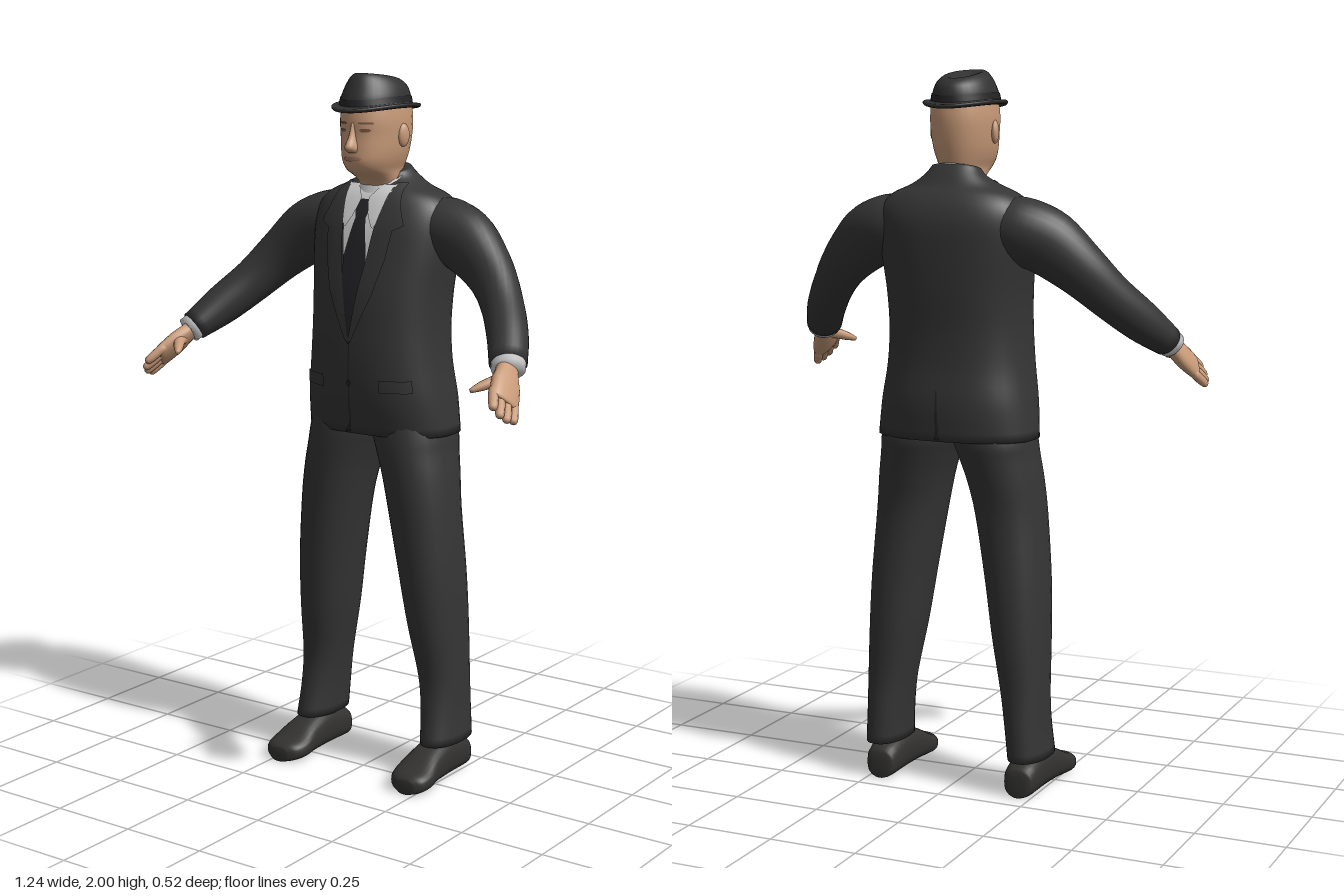
import * as THREE from 'three';

const V = (x, y, z) => new THREE.Vector3(x, y, z);
const paint = (name, color, side = THREE.FrontSide) => {
  const m = new THREE.MeshStandardMaterial({ color, side });
  m.name = name;
  return m;
};

// Smooth skin over cross-sections {c, u, v}; p shapes each ring (2 = ellipse, more = boxier)
function loft(secs, { p = 2, k = 4, n = 28, caps = true } = {}) {
  const curve = key => new THREE.CatmullRomCurve3(secs.map(s => s[key]), false, 'catmullrom', 0.5);
  const C = curve('c'), U = curve('u'), W = curve('v');
  const rows = (secs.length - 1) * k, pos = [], idx = [];
  const pw = a => Math.sign(a) * Math.pow(Math.abs(a), 2 / p);
  for (let i = 0; i <= rows; i++) {
    const c = C.getPoint(i / rows), u = U.getPoint(i / rows), v = W.getPoint(i / rows);
    for (let j = 0; j < n; j++) {
      const a = j / n * Math.PI * 2;
      pos.push(...c.clone().addScaledVector(u, pw(Math.cos(a))).addScaledVector(v, pw(Math.sin(a))).toArray());
    }
  }
  const first = secs[0], last = secs[secs.length - 1];
  const flip = first.u.clone().cross(first.v).dot(last.c.clone().sub(first.c)) < 0;
  const tri = (a, b, c) => flip ? idx.push(a, c, b) : idx.push(a, b, c);
  for (let i = 0; i < rows; i++) for (let j = 0; j < n; j++) {
    const a = i * n + j, b = i * n + (j + 1) % n;
    tri(a, b, b + n); tri(a, b + n, a + n);
  }
  if (caps) {
    const m = pos.length / 3;
    pos.push(...first.c.toArray(), ...last.c.toArray());
    for (let j = 0; j < n; j++) {
      const b = (j + 1) % n;
      tri(m, b, j); tri(m + 1, rows * n + j, rows * n + b);
    }
  }
  return geometry(pos, idx);
}

function geometry(pos, idx) {
  const g = new THREE.BufferGeometry();
  g.setAttribute('position', new THREE.Float32BufferAttribute(pos, 3));
  g.setIndex(idx);
  g.computeVertexNormals();
  return g;
}

// Level section: height, half width, front z, back z, centre x, rise at the front
const sec = ([y, hx, zf, zb, cx = 0, tilt = 0]) =>
  ({ c: V(cx, y, (zf + zb) / 2), u: V(hx, 0, 0), v: V(0, tilt, (zf - zb) / 2) });

// Sections square to a path of [x, y, z, width radius, thickness radius]
function limb(pts, ref) {
  return pts.map((q, i) => {
    const a = pts[Math.max(i - 1, 0)], b = pts[Math.min(i + 1, pts.length - 1)];
    const t = V(b[0] - a[0], b[1] - a[1], b[2] - a[2]).normalize();
    const u = ref.clone().cross(t).normalize(), v = t.clone().cross(u);
    return { c: V(q[0], q[1], q[2]), u: u.multiplyScalar(q[3]), v: v.multiplyScalar(q[4]) };
  });
}

// Thin plate of rows [y, x0, x1] laid onto a mesh from the front (dir 1) or back (dir -1)
function plate(target, rows, off, dir = 1) {
  const ray = new THREE.Raycaster(), cols = 6, sub = 4, pos = [], idx = [];
  const N = (rows.length - 1) * sub;
  let z = 0;
  for (let i = 0; i <= N; i++) {
    const r = Math.min(Math.floor(i / sub), rows.length - 2), f = i / sub - r;
    const [y, x0, x1] = rows[r].map((q, j) => q + (rows[r + 1][j] - q) * f);
    for (let j = 0; j <= cols; j++) {
      const x = x0 + (x1 - x0) * j / cols;
      ray.set(V(x, y, 2 * dir), V(0, 0, -dir));
      const hit = ray.intersectObject(target)[0];
      if (hit) z = hit.point.z;
      pos.push(x, y, z + off * dir);
      if (i < N && j < cols) {
        const a = i * (cols + 1) + j, b = a + cols + 1;
        idx.push(a, b, a + 1, a + 1, b, b + 1);
      }
    }
  }
  return geometry(pos, idx);
}

export function createModel() {
  const model = new THREE.Group();
  const suit = paint('charcoal suit', 0x353535), lapelCloth = paint('lapel cloth', 0x353535, THREE.DoubleSide);
  const dark = paint('dark trim', 0x242427, THREE.DoubleSide), hatFelt = paint('hat felt', 0x313131);
  const skin = paint('skin', 0xc89a78), shade = paint('face lines', 0x7a5844, THREE.DoubleSide);
  const white = paint('white shirt', 0xd2d2d2, THREE.DoubleSide), leather = paint('shoe leather', 0x333231);
  const lips = paint('lips', 0xa87f6c, THREE.DoubleSide);
  const add = (name, geo, mat) => {
    const m = new THREE.Mesh(geo, mat);
    m.name = name;
    model.add(m);
    return m;
  };

  // Jacket body
  const jacket = add('jacket', loft([
    [1.0, .23, .035, -.252], [1.1, .22, .06, -.258], [1.2, .206, .068, -.248], [1.3, .2, .066, -.247],
    [1.4, .203, .058, -.255], [1.5, .215, .038, -.26], [1.58, .22, .018, -.26], [1.63, .212, -.003, -.248],
    [1.665, .18, -.022, -.228], [1.69, .125, -.042, -.205], [1.715, .085, -.06, -.185, 0, -.008],
    [1.735, .068, -.07, -.168, 0, -.012]
  ].map(sec), { p: 2.4, n: 40 }), suit);

  // Shirt, tie and jacket front details
  add('shirtFront', plate(jacket, [[1.69, -.07, .07], [1.6, -.056, .056], [1.5, -.04, .04], [1.3, -.006, .006]], .003), white);
  add('tie', plate(jacket, [[1.655, -.018, .018], [1.635, -.026, .026], [1.605, -.017, .017], [1.5, -.038, .038],
    [1.4, -.03, .03], [1.27, -.004, .004]], .006), dark);
  add('frontEdge', plate(jacket, [[1.27, -.003, .001], [1.12, -.007, -.003], [1.04, -.014, -.008], [1.005, -.034, -.018]], .002), dark);
  add('backVent', plate(jacket, [[1.14, -.002, .002], [1.005, -.006, .006]], .002, -1), dark);
  for (const y of [1.27, 1.15]) add('button', plate(jacket, [[y + .009, -.003, .003], [y, .001, .017].map((q, i) => i ? q - .009 : q), [y - .009, -.003, .003]], .007), dark);
  add('shirtCollarBand', loft([[1.69, .076, -.02, -.168, 0, -.03], [1.722, .07, -.03, -.17, 0, -.028]].map(sec), { caps: false, k: 2 }), white);
  for (const s of [1, -1]) {
    const side = rows => rows.map(([y, a, b]) => s > 0 ? [y, a, b] : [y, -b, -a]);
    add('shirtCollarLeaf', plate(jacket, side([[1.695, .04, .078], [1.66, .012, .07], [1.61, .026, .06], [1.58, .044, .05]]), .009), white);
    add('lapel', plate(jacket, side([[1.7, .074, .098], [1.64, .064, .116], [1.59, .054, .137], [1.575, .051, .108],
      [1.5, .042, .098], [1.4, .022, .07], [1.27, 0, .01]]), .0095), lapelCloth);
    add('pocketFlap', plate(jacket, side([[1.165, .095, .175], [1.13, .093, .178]]), .006), lapelCloth);

    // Trouser leg: height, inner x, outer x, front z, back z
    add('trouserLeg', loft([
      [1.08, -.01, .2, .02, -.22], [1.0, -.004, .22, .028, -.235], [.95, .012, .226, .03, -.228], [.88, .034, .237, .029, -.214],
      [.78, .056, .248, .025, -.2], [.6, .088, .262, .015, -.203], [.45, .112, .267, 0, -.205],
      [.3, .14, .27, -.024, -.2], [.2, .155, .271, -.018, -.204], [.105, .164, .276, 0, -.205]
    ].map(([y, a, b, f, k]) => sec([y, (b - a) / 2, f, k, s * (a + b) / 2])), { p: 2.2 }), suit);

    // Shoe: z, centre x, half width, top height
    add('shoe', loft([
      [-.192, .213, .025, .06], [-.175, .214, .045, .09], [-.08, .215, .05, .115], [0, .216, .055, .098],
      [.06, .218, .064, .068], [.1, .221, .054, .055], [.118, .223, .028, .042]
    ].map(([z, x, w, h]) => ({ c: V(s * x, h / 2 + .002, z), u: V(w, 0, 0), v: V(0, h / 2, 0) })), { p: 2.6 }), leather);

    // Sleeve, shirt cuff and hand
    const path = pts => pts.map(([x, ...r]) => [s * x, ...r]);
    const up = V(0, 1, 0), palmNormal = V(s * .83, .55, 0);
    add('sleeve', loft(limb(path([
      [.13, 1.585, -.13, .085, .08], [.2, 1.568, -.13, .09, .092], [.275, 1.535, -.118, .078, .09], [.36, 1.462, -.092, .064, .073],
      [.425, 1.39, -.045, .058, .063], [.485, 1.322, .025, .056, .057], [.532, 1.264, .098, .051, .043]
    ]), up)), suit);
    add('cuff', loft(limb(path([[.528, 1.27, .09, .046, .038], [.541, 1.253, .112, .046, .038]]), up), { k: 1 }), white);
    add('palm', loft(limb(path([
      [.525, 1.27, .085, .03, .022], [.541, 1.246, .118, .034, .022], [.557, 1.22, .15, .046, .022], [.577, 1.188, .19, .048, .018], [.582, 1.18, .2, .04, .012]
    ]), palmNormal), { n: 16, p: 2.3 }), skin);
    for (let i = 0; i < 4; i++) {
      const o = (i - 1.5) * .024, l = [.85, 1.02, 1.05, .92][i];
      const at = (f, r) => [.571 - .46 * o + .031 * f, 1.195 + .62 * o - .047 * f, .183 + .63 * o + .052 * f, r, r * .9];
      add('finger', loft(limb(path([at(0, .014), at(.5 * l, .0145), at(.9 * l, .012), at(l, .005)]), palmNormal), { n: 10, k: 2 }), skin);
    }
    add('thumb', loft(limb(path([[.55, 1.235, .125, .02, .018], [.532, 1.228, .165, .017, .016], [.508, 1.216, .198, .013, .012], [.493, 1.207, .22, .006, .006]]), up), { n: 12 }), skin);
  }

  // Head and neck
  const head = add('head', loft([
    [1.64, .056, -.045, -.145], [1.69, .06, -.03, -.152], [1.715, .061, 0, -.155], [1.735, .064, .04, -.158],
    [1.76, .074, .054, -.165], [1.79, .082, .054, -.172], [1.83, .087, .051, -.178], [1.87, .089, .052, -.18], [1.915, .086, .045, -.175]
  ].map(sec), { p: 2.15 }), skin);
  add('nose', loft([[1.865, .007, .054, .02], [1.83, .01, .066, .02], [1.8, .017, .082, .02], [1.785, .015, .062, .02]].map(sec), { n: 14 }), skin);
  add('mouth', plate(head, [[1.774, -.022, .022], [1.769, -.03, .03], [1.762, -.02, .02]], .003), lips);
  for (const s of [1, -1]) {
    const mid = (y, x, h) => [y, s * x - h, s * x + h];
    add('eye', plate(head, [mid(1.85, .036, .01), mid(1.846, .036, .015), mid(1.841, .036, .009)], .002), shade);
    add('eyebrow', plate(head, [mid(1.868, .038, .018), mid(1.863, .037, .02)], .003), shade);
    const ear = new THREE.SphereGeometry(1, 14, 10);
    ear.scale(.011, .032, .02).rotateY(s * -.25).translate(s * .089, 1.83, -.065);
    add('ear', ear, skin);
  }

  // Hat with a dented crown and a brim curled up at the sides
  const curl = g => {
    const a = g.attributes.position;
    for (let i = 0; i < a.count; i++) a.setY(i, a.getY(i) + 1.2 * a.getX(i) ** 2);
    g.computeVertexNormals();
    return g;
  };
  add('hat', curl(loft([
    [1.897, .07, .04, -.16], [1.893, .098, .078, -.2], [1.897, .107, .088, -.213], [1.904, .105, .086, -.211],
    [1.908, .089, .062, -.182], [1.93, .084, .056, -.178], [1.955, .075, .044, -.172, 0, .004], [1.975, .062, .03, -.16, 0, .01],
    [1.986, .047, .014, -.142, 0, .012], [1.982, .028, -.006, -.122, 0, .011], [1.974, .008, -.04, -.09, 0, .004]
  ].map(sec), { k: 3, n: 36 })), hatFelt);
  add('hatBand', curl(loft([[1.909, .09, .063, -.183], [1.927, .0865, .0595, -.181]].map(sec), { k: 1, n: 36, caps: false })), dark);
  return model;
}
